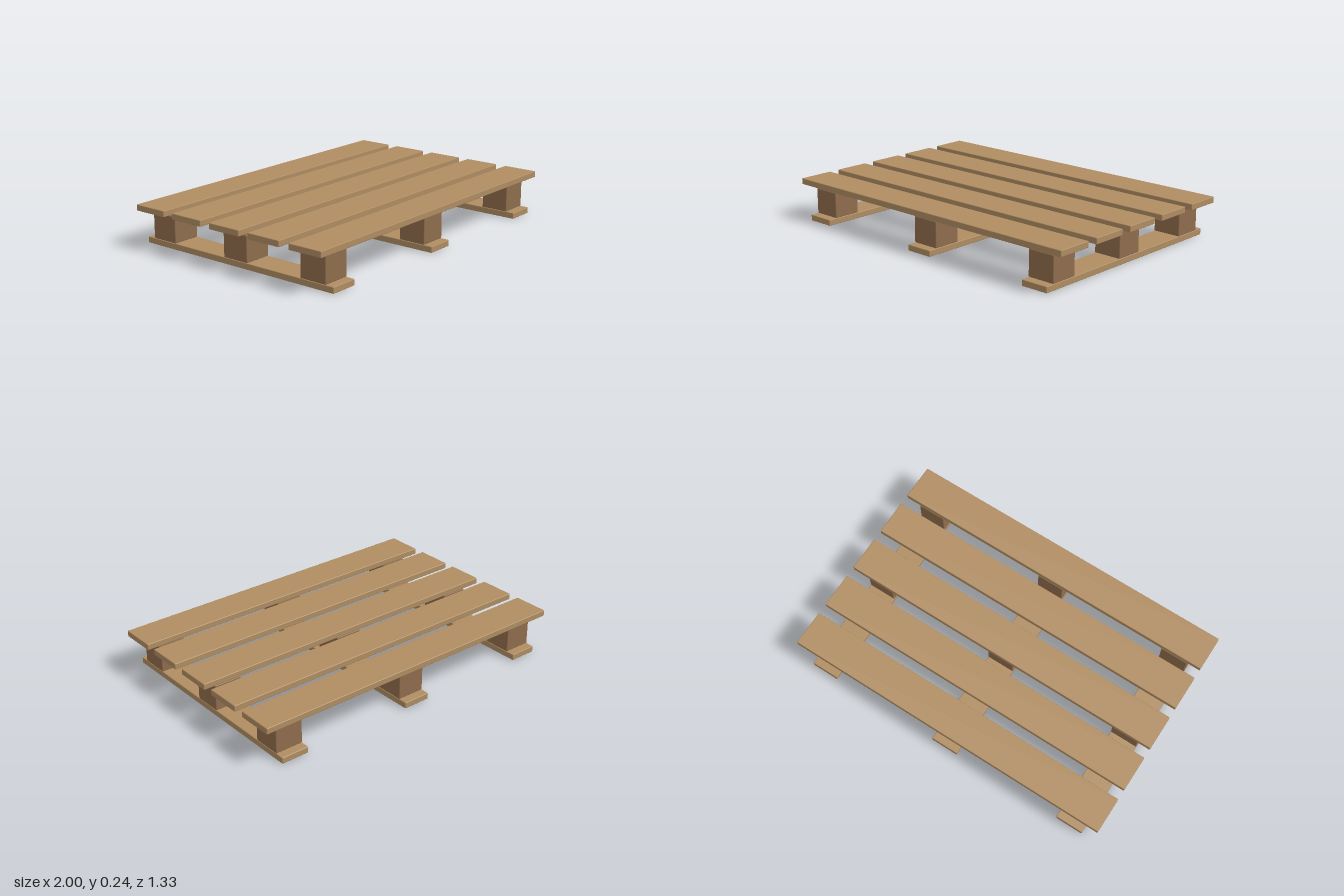
import * as THREE from 'three';
import { RoundedBoxGeometry } from 'three/addons/geometries/RoundedBoxGeometry.js';

export function createModel() {
  const pallet = new THREE.Group();
  pallet.name = 'pallet';

  const plankWood = new THREE.MeshStandardMaterial({ color: 0xb08d62 });
  plankWood.name = 'plank wood';
  const blockWood = new THREE.MeshStandardMaterial({ color: 0x8f6d4d });
  blockWood.name = 'block wood';

  // Timber piece with slightly eased edges, placed by the height of its underside
  const addTimber = (name, material, [w, h, d], x, bottom, z) => {
    const mesh = new THREE.Mesh(new RoundedBoxGeometry(w, h, d, 1, 0.004), material);
    mesh.name = name;
    mesh.position.set(x, bottom + h / 2, z);
    pallet.add(mesh);
  };

  const thickness = 0.036;
  const blockSize = 0.166;

  // Three bottom runners, each carrying three blocks
  for (const x of [-0.833, 0, 0.833]) {
    addTimber('bottomRunner', plankWood, [blockSize, thickness, 1.333], x, 0, 0);
    for (const z of [-0.533, 0, 0.533]) {
      addTimber('spacerBlock', blockWood, [blockSize, 0.151, blockSize], x, thickness, z);
    }
  }

  // Five deck slats across the top
  for (let i = -2; i <= 2; i++) {
    addTimber('deckSlat', plankWood, [2, thickness, 0.213], 0, 0.205, i * 0.276);
  }

  return pallet;
}
